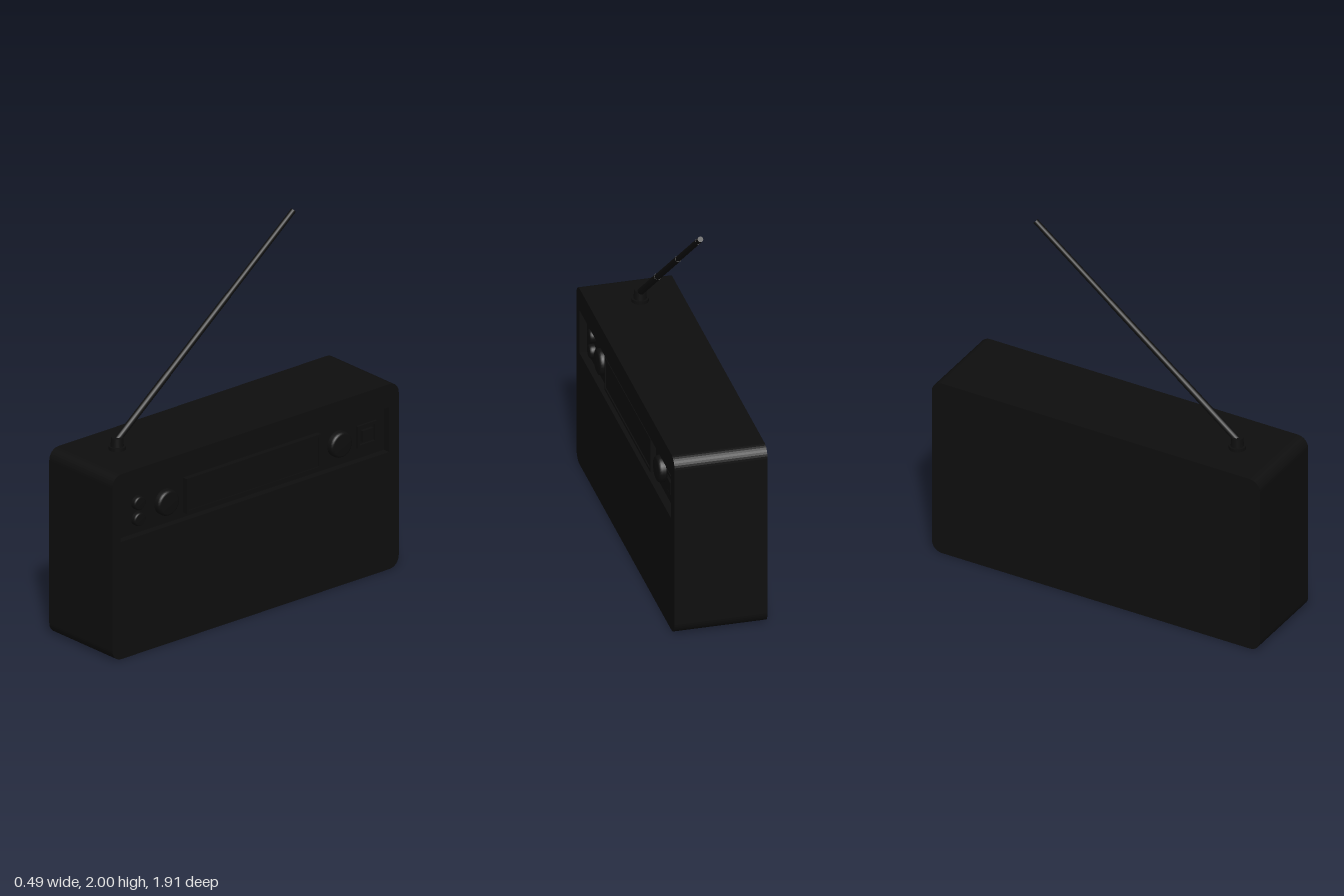
import * as THREE from 'three';

const black = new THREE.MeshStandardMaterial({ color: 0x0e0e0e });
black.name = 'black plastic';

const DEPTH = 0.485, RECESS = 0.04, HALF = 0.955, HEIGHT = 1.01;

function add(parent, name, geometry, x = 0, y = 0, z = 0) {
  const mesh = new THREE.Mesh(geometry, black);
  mesh.name = name;
  mesh.position.set(x, y, z);
  parent.add(mesh);
  return mesh;
}

function rect(path, x0, y0, x1, y1) {
  path.moveTo(x0, y0);
  path.lineTo(x1, y0);
  path.lineTo(x1, y1);
  path.lineTo(x0, y1);
  path.closePath();
  return path;
}

function caseShape() {
  const r = 0.06, s = new THREE.Shape();
  s.absarc(HALF - r, r, r, -Math.PI / 2, 0);
  s.absarc(HALF - r, HEIGHT - r, r, 0, Math.PI / 2);
  s.absarc(r - HALF, HEIGHT - r, r, Math.PI / 2, Math.PI);
  s.absarc(r - HALF, r, r, Math.PI, Math.PI * 1.5);
  s.closePath();
  return s;
}

const extrude = (shape, depth) =>
  new THREE.ExtrudeGeometry(shape, { depth, bevelEnabled: false, curveSegments: 4 });

// turned knob with a softly rounded rim, pointing along +z
function knob(r, length) {
  const points = [[r, 0], [r, length * 0.6], [r * 0.93, length * 0.88], [r * 0.8, length], [0, length]]
    .map(([a, b]) => new THREE.Vector2(a, b));
  return new THREE.LatheGeometry(points, 28).rotateX(Math.PI / 2);
}

export function createModel() {
  const model = new THREE.Group();
  model.name = 'portableRadio';

  // case and controls are laid out facing +z, then turned to face +x
  const radio = new THREE.Group();
  radio.name = 'radioBody';
  radio.rotation.y = Math.PI / 2;
  model.add(radio);

  const floor = DEPTH / 2 - RECESS;
  add(radio, 'case', extrude(caseShape(), DEPTH - RECESS), 0, 0, -DEPTH / 2);
  const frame = caseShape();
  frame.holes.push(rect(new THREE.Path(), -0.9, 0.64, 0.89, 0.885));
  add(radio, 'frontFrame', extrude(frame, RECESS), 0, 0, floor);

  // tuning dial with a thin rim
  add(radio, 'tuningDial', new THREE.BoxGeometry(0.88, 0.17, 0.024), 0, 0.762, floor + 0.012);
  const rim = rect(new THREE.Shape(), -0.45, 0.667, 0.447, 0.857);
  rim.holes.push(rect(new THREE.Path(), -0.435, 0.682, 0.432, 0.842));
  add(radio, 'dialRim', extrude(rim, 0.03), 0, 0, floor);

  // knobs and buttons
  for (const x of [-0.57, 0.583]) add(radio, 'largeKnob', knob(0.07, 0.038), x, 0.76, floor);
  for (const y of [0.72, 0.808]) add(radio, 'smallKnob', knob(0.037, 0.03), -0.757, y, floor);

  // square switch
  const surround = rect(new THREE.Shape(), 0.705, 0.7, 0.835, 0.82);
  surround.holes.push(rect(new THREE.Path(), 0.72, 0.715, 0.82, 0.805));
  add(radio, 'switchSurround', extrude(surround, 0.014), 0, 0, floor);
  add(radio, 'switchButton', new THREE.BoxGeometry(0.07, 0.06, 0.02), 0.77, 0.76, floor + 0.01);

  // aerial mount
  const ax = -0.02, az = 0.695;
  add(model, 'aerialBase', new THREE.CylinderGeometry(0.044, 0.044, 0.018, 24), ax, HEIGHT + 0.009, az);
  add(model, 'aerialPivot', new THREE.CylinderGeometry(0.03, 0.035, 0.06, 24), ax, HEIGHT + 0.035, az);

  // telescopic aerial, each section thinner than the last
  const start = new THREE.Vector3(ax, 1.06, az), end = new THREE.Vector3(ax, 1.99, -0.48);
  const dir = end.clone().sub(start).normalize();
  const sections = [[0, 0.29, 0.018], [0.29, 0.63, 0.0165], [0.63, 0.96, 0.015], [0.96, 1, 0.0145]];
  for (const [t0, t1, r] of sections) {
    const a = start.clone().lerp(end, t0), b = start.clone().lerp(end, t1);
    const mid = a.clone().add(b).multiplyScalar(0.5);
    const rod = add(model, 'aerialSection', new THREE.CylinderGeometry(r, r, a.distanceTo(b), 16), mid.x, mid.y, mid.z);
    rod.quaternion.setFromUnitVectors(new THREE.Vector3(0, 1, 0), dir);
  }
  return model;
}
